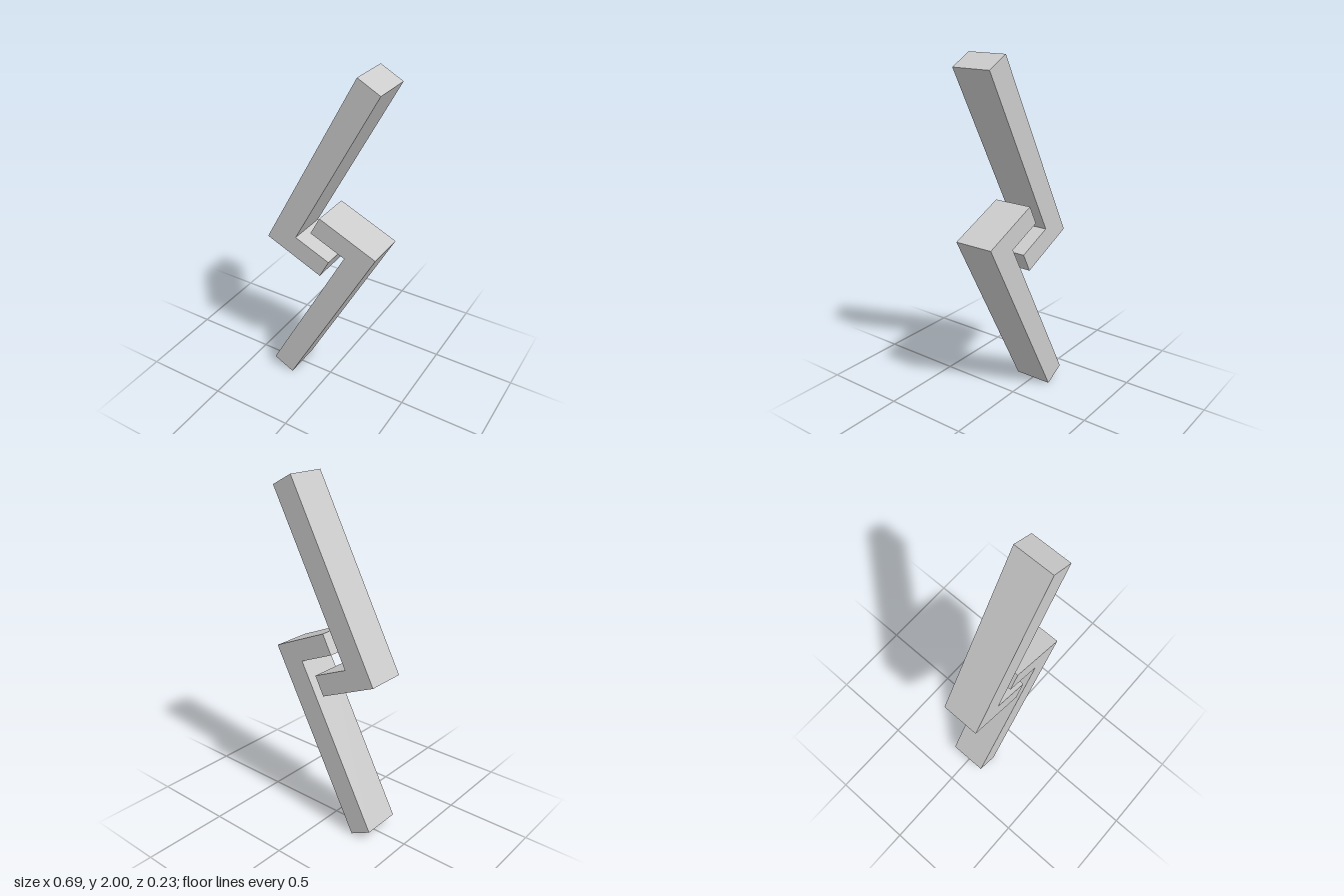
import * as THREE from 'three';

const DEPTH = 0.23;

// Outline of one hooked bar: a long slanted arm with a short return at its foot
const OUTLINE = [
  [0.211, 2], [-0.343, 0.966], [0, 0.815],
  [0.057, 0.924], [-0.155, 1.016], [0.337, 1.935],
];

export function createModel() {
  const model = new THREE.Group();
  model.name = 'interlockedHooks';

  const material = new THREE.MeshStandardMaterial({ color: 0xcccccc, flatShading: true });

  // Profile is drawn about the centre of the model, so the second bar is a half turn
  const shape = new THREE.Shape(OUTLINE.map(([x, y]) => new THREE.Vector2(x, y - 1)));
  const geometry = new THREE.ExtrudeGeometry(shape, { depth: DEPTH, bevelEnabled: false });
  geometry.translate(0, 0, -DEPTH / 2);

  ['upperHook', 'lowerHook'].forEach((name, i) => {
    const hook = new THREE.Mesh(geometry, material);
    hook.name = name;
    hook.position.y = 1;
    hook.rotation.z = i * Math.PI;
    model.add(hook);
  });

  return model;
}
